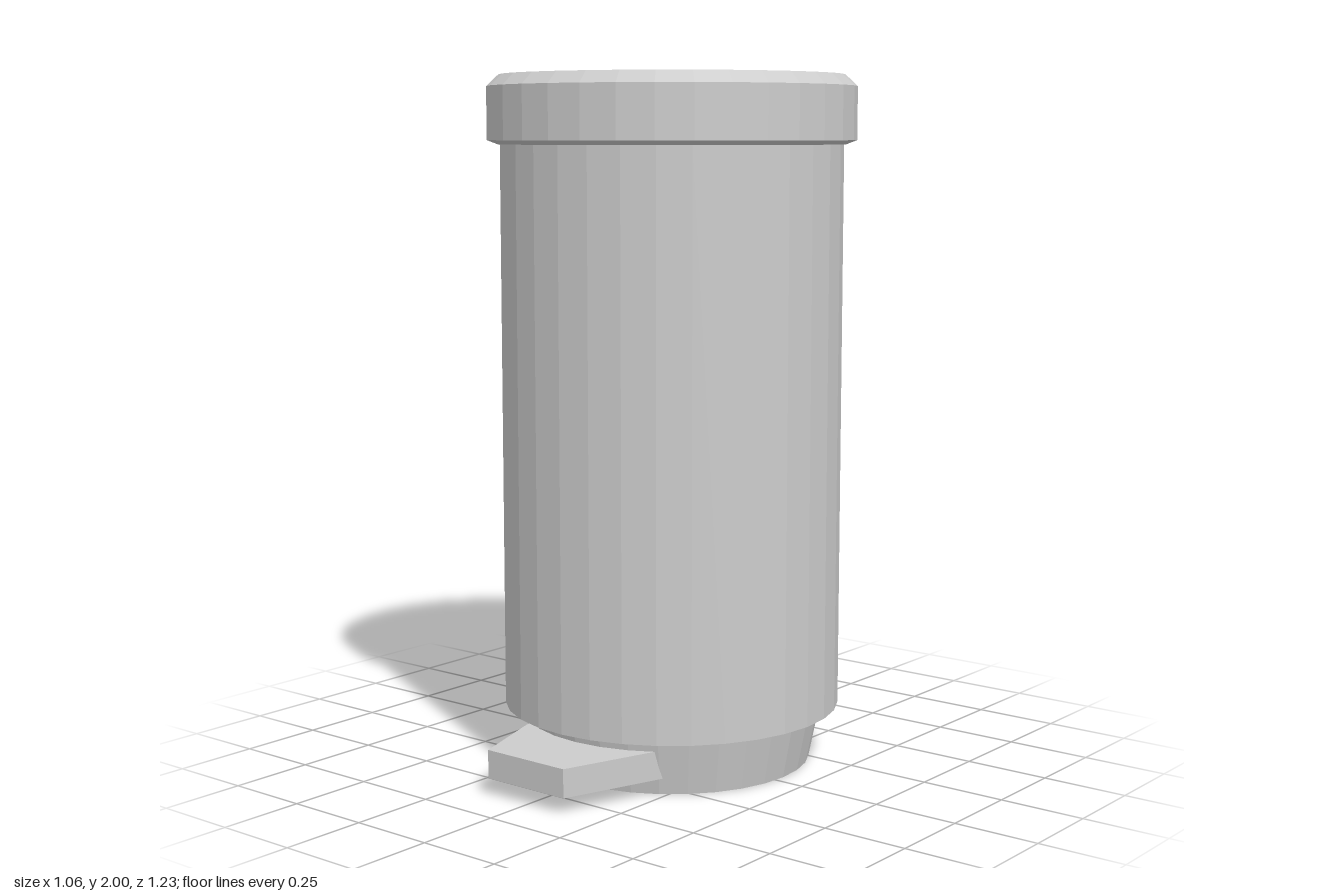
import * as THREE from 'three';

const SIDES = 32;
const AXIS_Z = -0.033; // the round parts sit slightly behind the centre

export function createModel() {
  const model = new THREE.Group();
  model.name = 'pedalBin';
  const grey = new THREE.MeshStandardMaterial({ color: 0xcccccc, flatShading: true });
  grey.name = 'grey';

  const add = (name, geometry, x = 0, y = 0, z = 0) => {
    const mesh = new THREE.Mesh(geometry, grey);
    mesh.name = name;
    mesh.position.set(x, y, z);
    model.add(mesh);
  };
  // Turned part from [radius, height] pairs, listed bottom to top
  const turned = (name, profile) =>
    add(name, new THREE.LatheGeometry(profile.map(([r, y]) => new THREE.Vector2(r, y)), SIDES), 0, 0, AXIS_Z);

  // Tapered foot, bucket with a small overhang, and chamfered lid
  turned('base', [[0, 0], [0.41, 0], [0.443, 0.165]]);
  turned('body', [[0, 0.165], [0.494, 0.165], [0.494, 1.81]]);
  turned('lid', [[0.485, 1.803], [0.5, 1.803], [0.531, 1.815], [0.531, 1.967], [0.496, 2], [0, 2]]);

  // Foot pedal: wedge slab narrowing toward the front
  const outline = new THREE.Shape([
    new THREE.Vector2(-0.14, -0.612),
    new THREE.Vector2(0.14, -0.612),
    new THREE.Vector2(0.278, -0.2),
    new THREE.Vector2(-0.278, -0.2),
  ]);
  const pedal = new THREE.ExtrudeGeometry(outline, { depth: 0.082, bevelEnabled: false });
  pedal.rotateX(-Math.PI / 2);
  add('pedal', pedal, 0, 0.048, 0);

  // Hinge block at the back, set into lid and body
  add('hinge', new THREE.BoxGeometry(0.088, 0.268, 0.125), 0, 1.771, -0.5515);

  return model;
}
